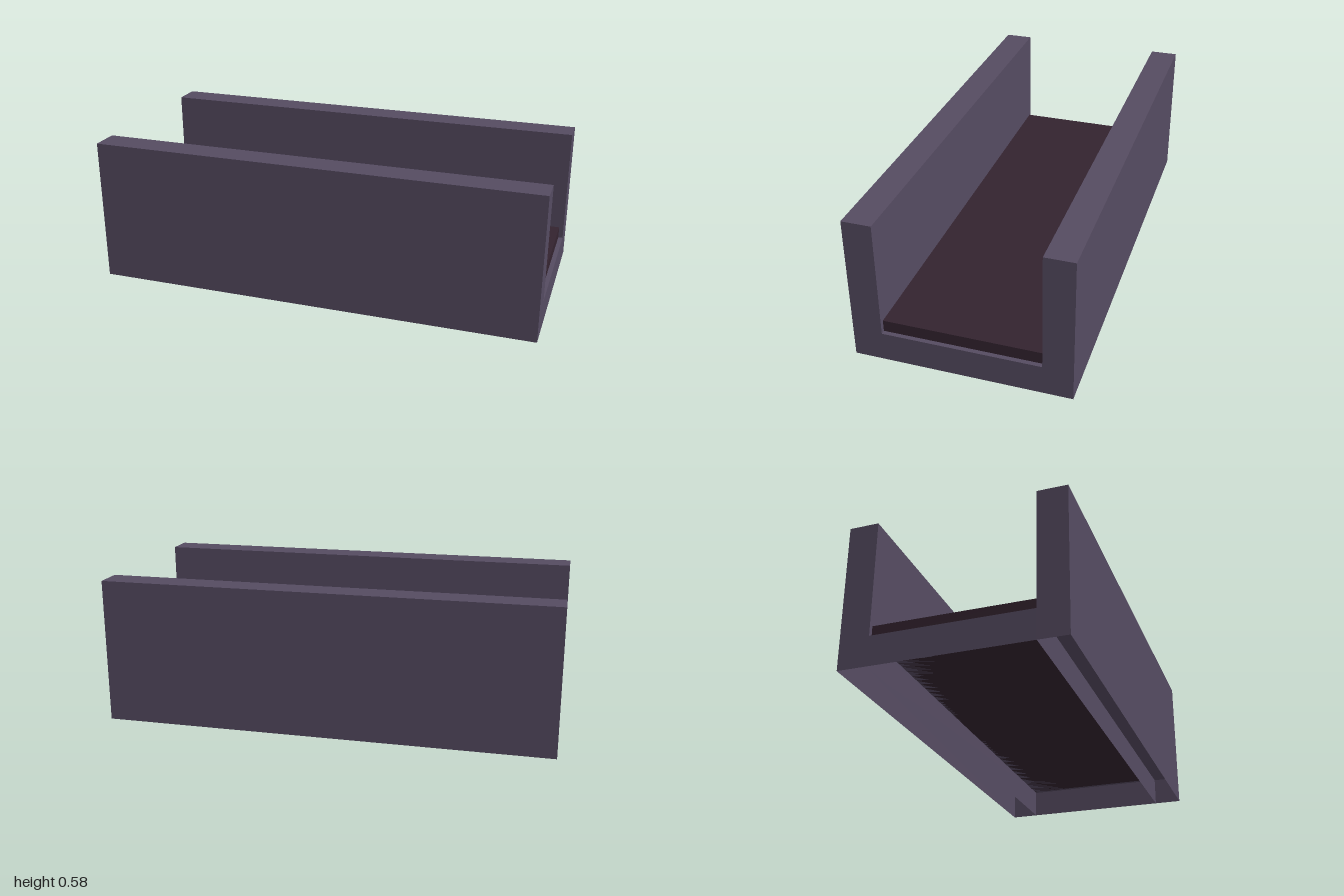
import * as THREE from 'three';

const LENGTH = 1.81, WIDTH = 0.844, HEIGHT = 0.585;
const WALL = 0.115, FLOOR = 0.118;

// Box standing on y = 0 with its underside left open
function openBox(w, h, d) {
  const geo = new THREE.BoxGeometry(w, h, d).translate(0, h / 2, 0);
  const index = Array.from(geo.index.array);
  index.splice(18, 6);
  geo.setIndex(index);
  geo.clearGroups();
  return geo;
}

export function createModel() {
  const stone = new THREE.MeshStandardMaterial({ color: 0x554b61, side: THREE.DoubleSide });
  stone.name = 'greyPurple';
  const lining = new THREE.MeshStandardMaterial({ color: 0x33232f });
  lining.name = 'darkMaroon';

  const model = new THREE.Group();
  model.name = 'channel';
  const add = (name, geo, mat, y = 0, z = 0) => {
    const mesh = new THREE.Mesh(geo, mat);
    mesh.name = name;
    mesh.position.set(0, y, z);
    model.add(mesh);
  };

  const inner = WIDTH - 2 * WALL;

  // Floor, hollow from below
  add('floor', openBox(LENGTH, FLOOR, inner), stone);

  // Side walls with a hollow footing under each
  for (const [side, s] of [['front', 1], ['back', -1]]) {
    const z = s * (WIDTH - WALL) / 2;
    add(side + 'Footing', openBox(LENGTH, FLOOR, WALL), stone, 0, z);
    add(side + 'Wall', openBox(LENGTH, HEIGHT - FLOOR, WALL), stone, FLOOR, z);
  }

  // Dark slab lying between the walls, slightly short at both ends
  const slab = new THREE.BoxGeometry(LENGTH - 0.036, 0.047, inner).translate(0, 0.0235, 0);
  add('floorLining', slab, lining, FLOOR);

  model.rotation.y = THREE.MathUtils.degToRad(25);
  const root = new THREE.Group();
  root.name = 'model';
  root.add(model);
  return root;
}
